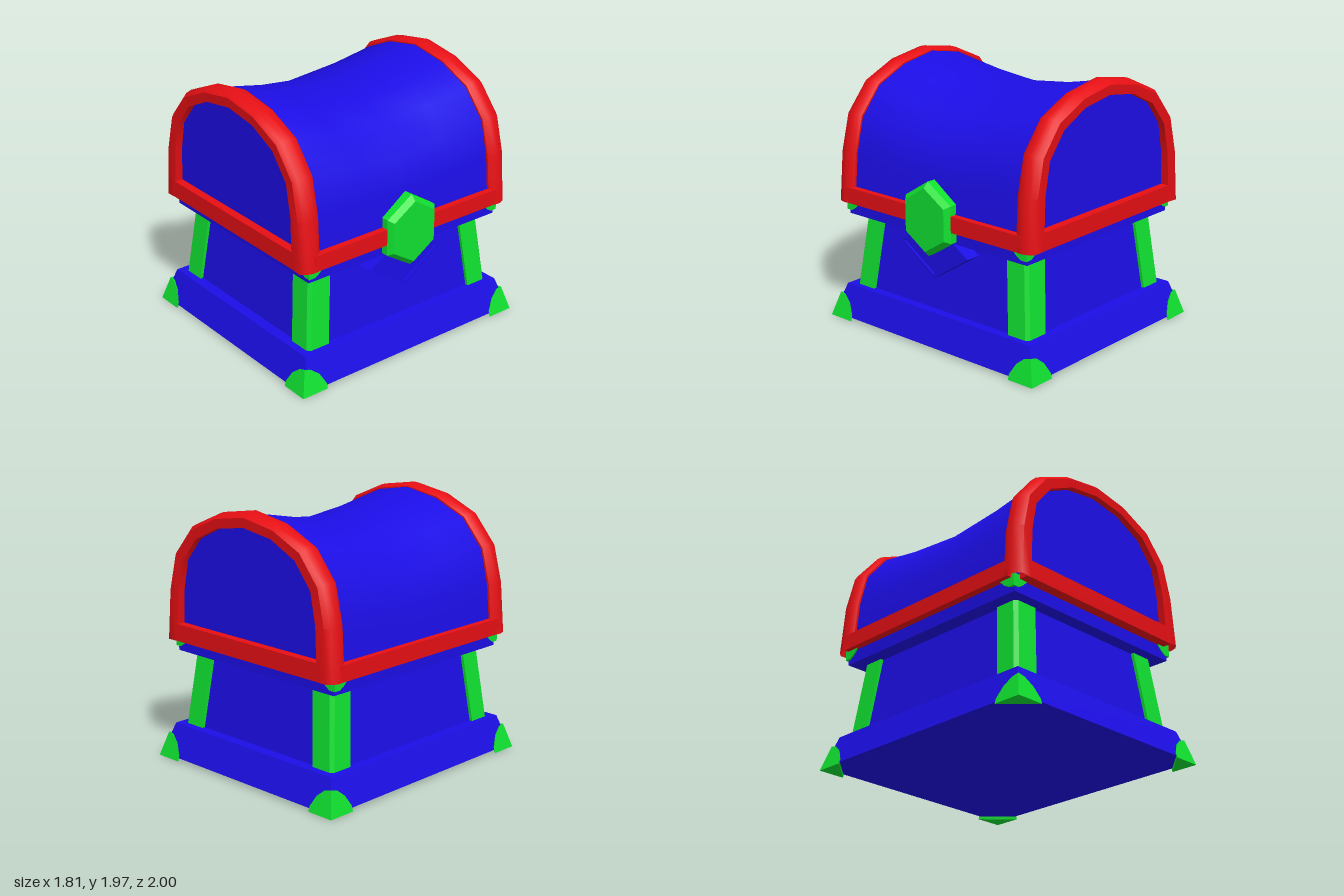
import * as THREE from 'three';
import { toCreasedNormals } from 'three/addons/utils/BufferGeometryUtils.js';
import { ConvexGeometry } from 'three/addons/geometries/ConvexGeometry.js';

const material = (color, flatShading = true) =>
  new THREE.MeshStandardMaterial({ color, flatShading, side: THREE.DoubleSide });
const blue = material(0x1c0ee6);
const green = material(0x10e030);
const smoothBlue = material(0x1c0ee6, false);
const smoothRed = material(0xe60f14, false);

function add(parent, name, geometry, mat) {
  const mesh = new THREE.Mesh(geometry, mat);
  mesh.name = name;
  parent.add(mesh);
  return mesh;
}

// Box given by its limits
function box(x0, x1, y0, y1, z0, z1) {
  return new THREE.BoxGeometry(x1 - x0, y1 - y0, z1 - z0)
    .translate((x0 + x1) / 2, (y0 + y1) / 2, (z0 + z1) / 2);
}

// Box whose half width and half depth change from bottom to top
function taperedBox(y0, y1, [bx, bz], [tx, tz]) {
  const g = box(-1, 1, y0, y1, -1, 1);
  const p = g.attributes.position;
  for (let i = 0; i < p.count; i++) {
    const top = p.getY(i) > (y0 + y1) / 2;
    p.setX(i, p.getX(i) * (top ? tx : bx));
    p.setZ(i, p.getZ(i) * (top ? tz : bz));
  }
  g.computeVertexNormals();
  return g;
}

// Skin over rows of points, optionally closing each row into a loop
function skin(rows, closed, crease) {
  const n = rows[0].length, index = [];
  for (let i = 0; i < rows.length - 1; i++) {
    for (let j = 0; j < (closed ? n : n - 1); j++) {
      const k = (j + 1) % n;
      const a = i * n + j, b = i * n + k, c = b + n, d = a + n;
      index.push(a, d, c, a, c, b);
    }
  }
  const g = new THREE.BufferGeometry();
  g.setAttribute('position', new THREE.Float32BufferAttribute(rows.flat(2), 3));
  g.setIndex(index);
  return toCreasedNormals(g, crease);
}

// Half profile from the +x foot to the crown, mirrored to the -x foot
const mirrorProfile = (half) =>
  [...half, ...half.slice(0, -1).reverse().map(([x, y]) => [-x, y])];
const outer = mirrorProfile([[0.86, 0.92], [0.83, 1.3], [0.76, 1.58], [0.575, 1.8], [0.3, 1.92], [0, 1.97]]);
const inner = mirrorProfile([[0.72, 0.92], [0.7, 1.3], [0.65, 1.53], [0.5, 1.71], [0.27, 1.82], [0, 1.86]]);
const barrel = mirrorProfile([[0.81, 0.96], [0.785, 1.3], [0.725, 1.56], [0.55, 1.775], [0.29, 1.893], [0, 1.945]]);

function archGeometry() {
  // Rounded bar section: [share of the way inward, z]
  const section = [[0.22, 0.79], [0.02, 0.825], [0, 0.87], [0.12, 0.92], [0.35, 0.95], [1, 0.945], [1, 0.86], [0.9, 0.79]];
  const rows = outer.map(([x, y], i) => section.map(([t, z]) => {
    const px = x + (inner[i][0] - x) * t;
    const py = y + (inner[i][1] - y) * t;
    return [px, py, z - 0.02 * (py - 0.92)];
  }));
  return skin(rows, true, 0.85);
}

// Saddle-shaped lid that sinks towards its middle
function barrelGeometry() {
  const stations = [[-0.88, 1], [-0.8, 1], [-0.44, 0.921], [0, 0.868], [0.44, 0.921], [0.8, 1], [0.88, 1]];
  return skin(barrel.map(([x, y]) =>
    stations.map(([z, s]) => [x, y > 1 ? 1 + (y - 1) * s : y, z])), false, 1);
}

// Corner post with a cut outer edge, leaning inward as it rises
function postGeometry() {
  const shape = new THREE.Shape([[0.58, 0.67], [0.77, 0.67], [0.77, 0.825], [0.745, 0.85], [0.58, 0.85]]
    .map(([x, z]) => new THREE.Vector2(x, -z)));
  const h = 0.58;
  const g = new THREE.ExtrudeGeometry(shape, { depth: h, bevelEnabled: false }).rotateX(-Math.PI / 2);
  const p = g.attributes.position;
  for (let i = 0; i < p.count; i++) {
    const t = p.getY(i) / h;
    p.setXYZ(i, p.getX(i) - 0.063 * t, p.getY(i) + 0.245, p.getZ(i) - 0.066 * t);
  }
  return g;
}

// Corner guard: the same outline of [reach along face, height] on both faces
function guardGeometry(x, z, y, outline, slope) {
  const points = [];
  for (const [reach, h] of outline) {
    const lean = slope * Math.abs(h);
    points.push(new THREE.Vector3(x - Math.max(reach, lean), y + h, z - lean));
    points.push(new THREE.Vector3(x - lean, y + h, z - Math.max(reach, lean)));
  }
  return new ConvexGeometry(points);
}

export function createModel() {
  const model = new THREE.Group();
  model.name = 'chest';

  // Box of the chest
  add(model, 'base', taperedBox(0.02, 0.255, [0.888, 0.985], [0.815, 0.905]), blue);
  add(model, 'body', taperedBox(0.25, 0.83, [0.745, 0.825], [0.682, 0.759]), blue);
  add(model, 'rim', box(-0.8, 0.8, 0.82, 1, -0.865, 0.865), blue);

  // Posts and corner guards, mirrored to all four corners
  const post = postGeometry();
  const foot = guardGeometry(0.905, 1, 0,
    [[0, 0], [0.215, 0], [0.215, 0.04], [0.17, 0.12], [0.11, 0.17], [0.05, 0.185]], 0.29);
  const rimGuard = guardGeometry(0.82, 0.875, 0.95,
    [[0, 0], [0.16, 0], [0.125, -0.035], [0.09, -0.07], [0.05, -0.095], [0, -0.095]], 0);
  for (const sx of [1, -1]) {
    for (const sz of [1, -1]) {
      const corner = new THREE.Group();
      corner.name = 'corner';
      corner.scale.set(sx, 1, sz);
      add(corner, 'post', post, green);
      add(corner, 'footGuard', foot, green);
      add(corner, 'rimGuard', rimGuard, green);
      model.add(corner);
    }
  }

  // Lid with its red trim
  const lid = new THREE.Group();
  lid.name = 'lid';
  model.add(lid);
  add(lid, 'barrel', barrelGeometry(), smoothBlue);
  const arch = archGeometry();
  const panel = new THREE.ShapeGeometry(new THREE.Shape(barrel.map(([x, y]) => new THREE.Vector2(x, y))))
    .translate(0, 0, 0.88);
  for (const turn of [0, Math.PI]) {
    const end = new THREE.Group();
    end.name = 'lidEnd';
    end.rotation.y = turn;
    add(end, 'arch', arch, smoothRed);
    add(end, 'endPanel', panel, smoothBlue);
    add(end, 'endRail', box(-0.76, 0.76, 0.92, 1.05, 0.79, 0.944), smoothRed);
    add(end, 'sideRail', box(0.78, 0.855, 0.92, 1.04, -0.85, 0.85), smoothRed);
    lid.add(end);
  }

  // Six-sided clasp with a bevelled face
  const clasp = new THREE.Group();
  clasp.name = 'clasp';
  for (const [name, r0, r1, x0, x1] of [['claspBody', 0.275, 0.275, 0.78, 0.855], ['claspFace', 0.275, 0.235, 0.855, 0.895]]) {
    const g = new THREE.CylinderGeometry(r1, r0, x1 - x0, 6, 1, false, Math.PI / 2)
      .rotateZ(-Math.PI / 2).scale(1, 1, 0.91).translate((x0 + x1) / 2, 0.975, 0);
    add(clasp, name, g, green);
  }
  model.add(clasp);

  // Diamond lock plate with a sunken middle
  const diamond = (rz, ry) => [[rz, 0], [0, ry], [-rz, 0], [0, -ry]].map(([z, y]) => new THREE.Vector2(z, y));
  const plate = (shape, depth) => new THREE.ExtrudeGeometry(shape, { depth, bevelEnabled: false })
    .rotateY(Math.PI / 2).translate(0.66, 0.735, 0);
  const frame = new THREE.Shape(diamond(0.33, 0.215));
  frame.holes.push(new THREE.Path(diamond(0.29, 0.188)));
  add(model, 'lockFrame', plate(frame, 0.15), blue);
  add(model, 'lockPlate', plate(new THREE.Shape(diamond(0.3, 0.195)), 0.135), blue);

  return model;
}
